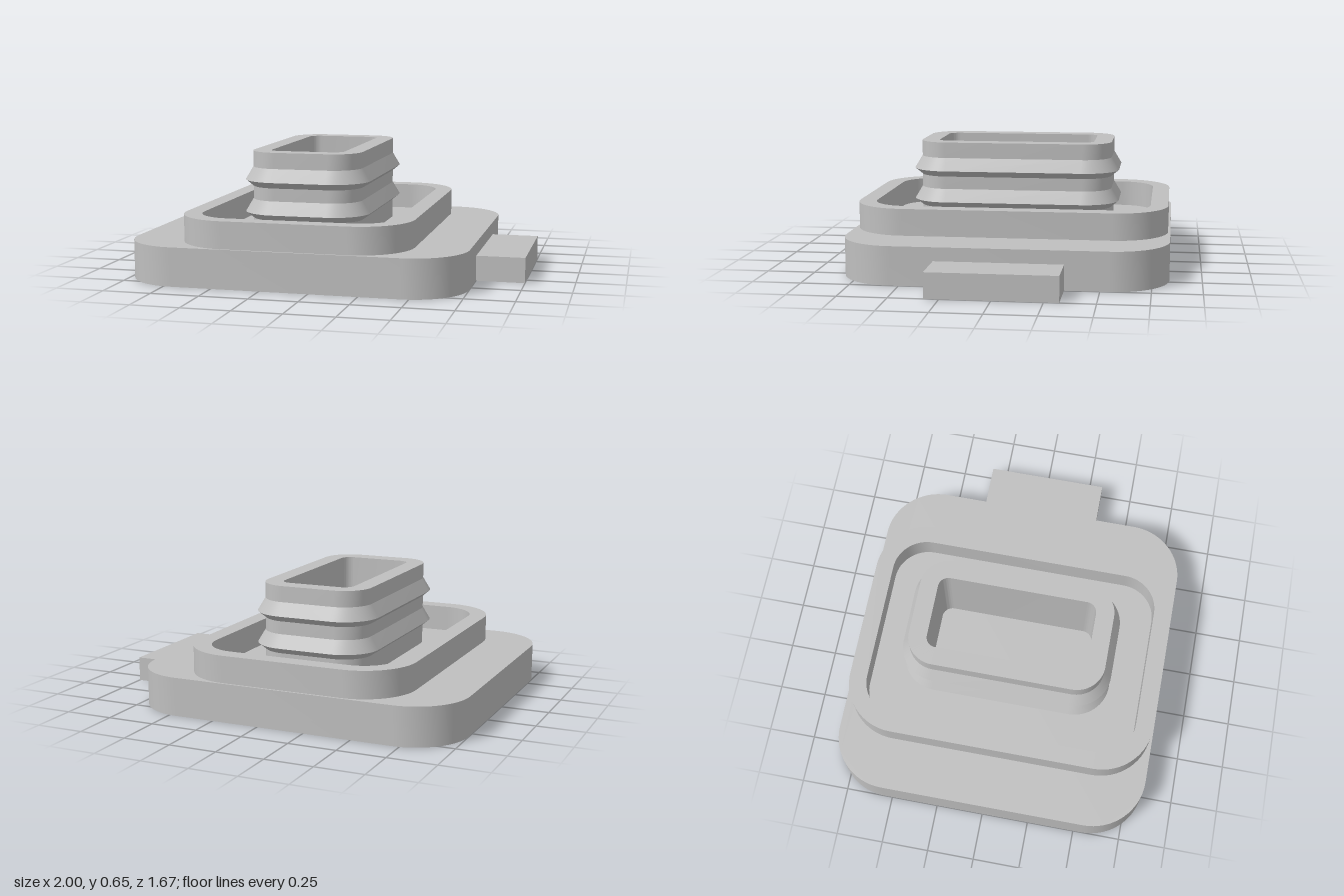
import * as THREE from 'three';
import { toCreasedNormals } from 'three/addons/utils/BufferGeometryUtils.js';

const CENTER_X = -0.125;
const CREASE = 0.4;
const ARC_STEPS = 16;

// Counter-clockwise outline of a rounded rectangle (half sizes, corner radius)
function outline(hw, hd, r) {
  const pts = [];
  [[1, 1], [-1, 1], [-1, -1], [1, -1]].forEach(([sx, sy], corner) => {
    for (let i = 0; i <= ARC_STEPS; i++) {
      const a = (corner + i / ARC_STEPS) * Math.PI / 2;
      pts.push(new THREE.Vector2(
        sx * (hw - r) + r * Math.cos(a), sy * (hd - r) + r * Math.sin(a)));
    }
  });
  return pts;
}

// Upright slab with an optional opening
function slab(outer, height, inner) {
  const shape = new THREE.Shape(outer);
  if (inner) shape.holes.push(new THREE.Path(inner));
  const geo = new THREE.ExtrudeGeometry(shape, { depth: height, bevelEnabled: false });
  return toCreasedNormals(geo.rotateX(-Math.PI / 2), CREASE);
}

// Sweep a profile of [outward offset, height] around a rounded rectangle
function sweep(hw, hd, r, profile) {
  const pos = [], index = [];
  const n = 4 * (ARC_STEPS + 1);
  profile.forEach(([off, y], j) => {
    outline(hw + off, hd + off, r + off).forEach((p, i) => {
      pos.push(p.x, y, -p.y);
      if (j === profile.length - 1) return;
      const a = j * n + i, b = j * n + (i + 1) % n;
      index.push(a, b, b + n, a, b + n, a + n);
    });
  });
  const geo = new THREE.BufferGeometry();
  geo.setAttribute('position', new THREE.Float32BufferAttribute(pos, 3));
  geo.setIndex(index);
  return toCreasedNormals(geo, CREASE);
}

export function createModel() {
  const group = new THREE.Group();
  const grey = new THREE.MeshStandardMaterial({ color: 0xbfbfbf });
  grey.name = 'grey';

  const add = (name, geo, x, y) => {
    const mesh = new THREE.Mesh(geo, grey);
    mesh.name = name;
    mesh.position.set(x, y, 0);
    group.add(mesh);
  };

  // Base plate and the raised rim on it
  add('basePlate', slab(outline(0.875, 0.835, 0.29), 0.2), CENTER_X, 0);
  add('rim', slab(outline(0.6, 0.823, 0.28), 0.14, outline(0.507, 0.73, 0.187)), CENTER_X, 0.2);

  // Hollow plug: outer wall with two sealing ribs, then over the lip and down inside
  const profile = [[0, 0.2]];
  for (const peak of [0.333, 0.5]) {
    profile.push([0, peak - 0.033], [0.04, peak], [0, peak + 0.067]);
  }
  profile.push([0, 0.65], [-0.095, 0.65], [-0.095, 0.2]);
  add('ribbedPlug', sweep(0.29, 0.515, 0.15, profile), CENTER_X, 0);

  // Pull tab on the side
  add('pullTab', new THREE.BoxGeometry(0.27, 0.13, 0.65), 0.865, 0.065);

  return group;
}
